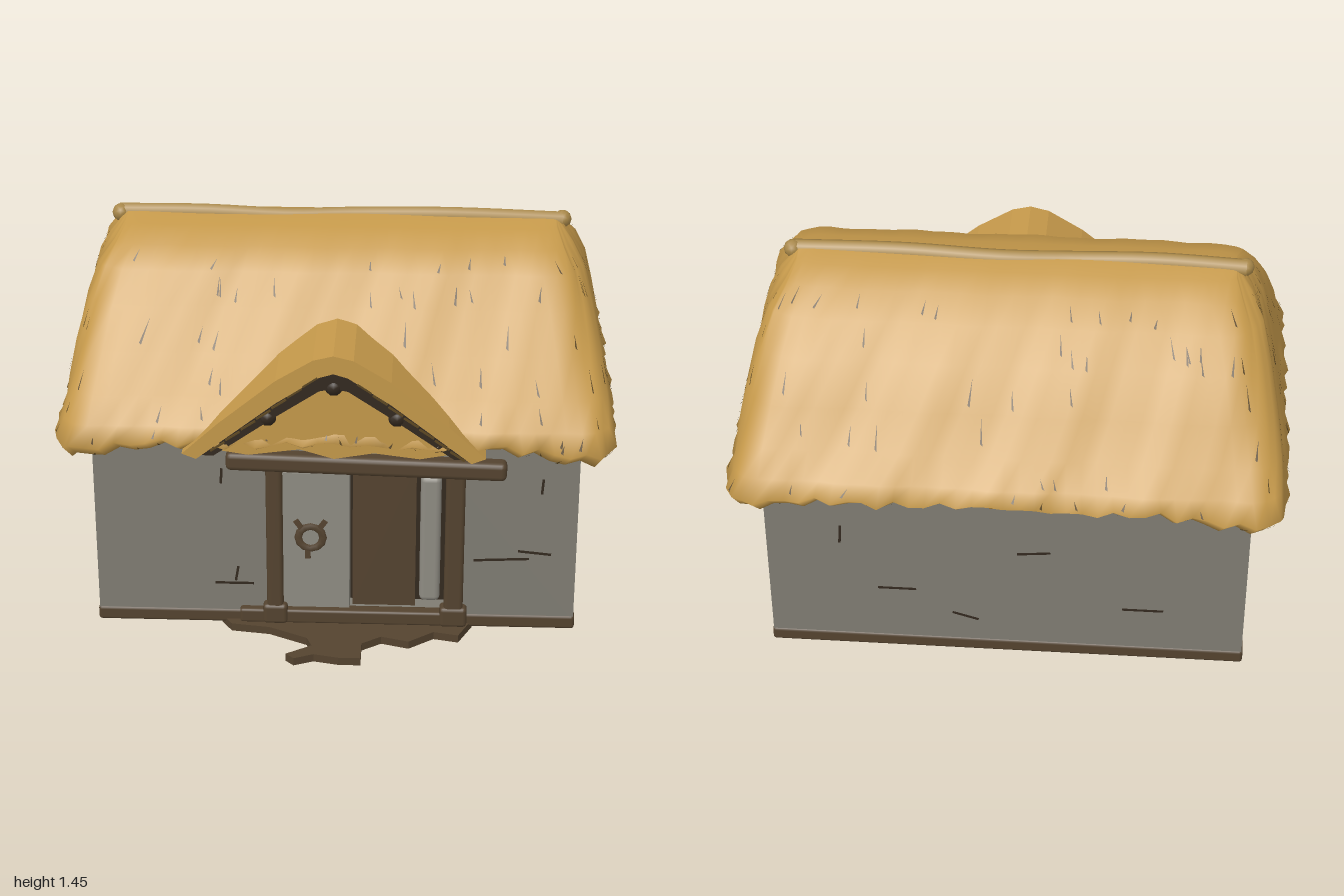
import * as THREE from 'three';
import { RoundedBoxGeometry } from 'three/addons/geometries/RoundedBoxGeometry.js';

const mat = (name, color, side = THREE.FrontSide) => {
  const m = new THREE.MeshStandardMaterial({ color, side });
  m.name = name;
  return m;
};

export function createModel() {
  const thatch = mat('thatch', 0xc4984a);
  const ridgeThatch = mat('ridge thatch', 0xa98849);
  const straw = mat('dark straw', 0x5c4722, THREE.DoubleSide);
  const stone = mat('stone', 0x7f7c72);
  const plaster = mat('plaster', 0x8e8b82);
  const wood = mat('wood', 0x54432f);
  const darkWood = mat('dark wood', 0x33291f);

  const house = new THREE.Group();
  house.name = 'cottage';
  let seed = 7;
  const rand = () => (seed = (seed * 16807) % 2147483647) / 2147483647;

  const add = (name, geo, material, x = 0, y = 0, z = 0) => {
    const m = new THREE.Mesh(geo, material);
    m.name = name;
    m.position.set(x, y, z);
    house.add(m);
    return m;
  };
  // box given by its limits
  const block = (name, material, x0, x1, y0, y1, z0, z1, r = 0) => {
    const s = [x1 - x0, y1 - y0, z1 - z0];
    const geo = r ? new RoundedBoxGeometry(...s, 2, r) : new THREE.BoxGeometry(...s);
    return add(name, geo, material, (x0 + x1) / 2, (y0 + y1) / 2, (z0 + z1) / 2);
  };
  const shape = pts => new THREE.Shape(pts.map(p => new THREE.Vector2(...p)));
  const extrude = (s, depth) => new THREE.ExtrudeGeometry(s, { depth, bevelEnabled: false });

  // walls, with a doorway cut in the front slab
  block('walls', stone, -0.87, 0.87, 0.05, 0.83, -0.6, 0.38);
  const front = shape([[-0.87, 0.05], [0.87, 0.05], [0.87, 0.83], [-0.87, 0.83]]);
  front.holes.push(new THREE.Path([[0.05, 0.07], [0.05, 0.66], [0.4, 0.66], [0.4, 0.07]].map(p => new THREE.Vector2(...p))));
  add('frontWall', extrude(front, 0.1), stone, 0, 0, 0.38);
  block('foundation', wood, -0.875, 0.875, 0.015, 0.07, -0.605, 0.485, 0.012);

  // doorway
  block('doorRecess', darkWood, 0.05, 0.4, 0.07, 0.66, 0.375, 0.385);
  block('door', wood, 0.06, 0.29, 0.07, 0.65, 0.385, 0.43);
  block('doorJamb', plaster, 0.305, 0.38, 0.12, 0.63, 0.42, 0.487, 0.02);
  block('wallPanel', plaster, -0.19, 0.05, 0.09, 0.64, 0.475, 0.489);
  block('threshold', wood, -0.35, 0.46, 0.03, 0.085, 0.46, 0.51, 0.01);

  // porch frame
  [[-0.22, 0.06], [0.43, 0.07]].forEach(([x, w]) => {
    block('post', wood, x - w / 2, x + w / 2, 0.04, 0.68, 0.46, 0.515, 0.015);
    block('postFoot', wood, x - w / 2 - 0.015, x + w / 2 + 0.015, 0.03, 0.11, 0.46, 0.52, 0.015);
  });
  block('lintel', wood, -0.39, 0.61, 0.65, 0.72, 0.45, 0.53, 0.02).rotation.z = -0.025;

  // small peephole ornament
  const ringMesh = add('peephole', new THREE.TorusGeometry(0.045, 0.016, 6, 12), wood, -0.09, 0.38, 0.487);
  ringMesh.scale.z = 0.6;
  [[-0.13, 0.43, 0.6], [-0.05, 0.43, -0.6], [-0.1, 0.32, 0]].forEach(([x, y, a]) => {
    block('peepholeSpur', wood, x - 0.01, x + 0.01, y - 0.025, y + 0.025, 0.485, 0.495).rotation.z = a;
  });

  // trodden earth before the door
  const apron = extrude(shape([[-0.42, 0.46], [-0.38, 0.52], [-0.24, 0.54], [-0.1, 0.61], [-0.08, 0.66], [-0.17, 0.72],
    [-0.14, 0.75], [-0.07, 0.72], [0.02, 0.74], [0.1, 0.74], [0.1, 0.64], [0.17, 0.59], [0.27, 0.62], [0.36, 0.55],
    [0.45, 0.57], [0.5, 0.46]]), 0.03);
  apron.rotateX(Math.PI / 2);
  add('doorstep', apron, wood, 0, 0.03, 0);

  // cracks: [side, position along wall, y, length, angle]
  const cracks = [['f', -0.37, 0.18, 0.14, 0], ['f', -0.36, 0.22, 0.06, 1.4], ['f', 0.72, 0.33, 0.12, -0.1],
    ['f', 0.74, 0.6, 0.06, 1.5], ['f', 0.6, 0.3, 0.2, 0.05], ['f', -0.41, 0.62, 0.06, 1.5],
    ['r', 0, 0.2, 0.16, 0], ['r', -0.04, 0.28, 0.14, 0.1], ['r', -0.09, 0.4, 0.14, 1.5], ['r', 0.1, 0.3, 0.08, -0.5],
    ['r', -0.5, 0.7, 0.18, 0.1], ['r', -0.26, 0.12, 0.09, -0.8], ['l', 0.2, 0.3, 0.14, 0], ['l', -0.2, 0.5, 0.1, 1.4],
    ['b', -0.5, 0.25, 0.15, 0], ['b', -0.1, 0.5, 0.12, 0.1], ['b', 0.4, 0.3, 0.14, 0], ['b', 0.6, 0.55, 0.08, 1.5],
    ['b', 0.15, 0.18, 0.1, -0.3]];
  const faces = { f: [0, 0.48, 0], b: [0, -0.6, Math.PI], r: [0.87, 0, Math.PI / 2], l: [-0.87, 0, -Math.PI / 2] };
  cracks.forEach(([k, p, y, len, a]) => {
    const [fx, fz, turn] = faces[k];
    const m = add('crack', new THREE.BoxGeometry(len, 0.009, 0.004), darkWood, fx || p, y, fz || p);
    m.rotation.set(0, turn, a);
  });

  // thatched roof: stacked rounded rectangles [y, half width, front z, back z, eave lift]
  const levels = [[0.8, 0.85, 0.46, -0.58, 0], [0.745, 0.965, 0.6, -0.715, 0.06], [0.79, 0.99, 0.625, -0.74, 0.03],
    [0.87, 0.97, 0.6, -0.7, 0], [0.95, 0.955, 0.52, -0.625, 0], [1.07, 0.93, 0.41, -0.53, 0],
    [1.2, 0.9, 0.3, -0.43, 0], [1.3, 0.87, 0.21, -0.32, 0], [1.37, 0.83, 0.15, -0.23, 0],
    [1.41, 0.8, 0.04, -0.15, 0], [1.43, 0.78, -0.04, -0.08, 0]];
  const sides = [[26, 1, 0], [36, 0, 1], [26, -1, 0], [36, 0, -1]];
  const clamp = THREE.MathUtils.clamp;
  const rings = levels.map(([y, hx, zf, zb, lift], i) => {
    const ring = [], hz = (zf - zb) / 2, cz = (zf + zb) / 2, r = Math.min(0.12, hz * 0.9);
    sides.forEach(([n, sx, sz]) => {
      for (let k = 0; k < n; k++) {
        const j = ring.length, t = -1 + 2 * k / n;
        const px = (sx || -sz * t) * hx, pz = (sz || sx * t) * hz;
        const ix = clamp(px, r - hx, hx - r), iz = clamp(pz, r - hz, hz - r);
        const d = Math.hypot(px - ix, pz - iz), ragged = i === 1 || i === 2 ? 0.009 : 0;
        const bump = i && i < 9 ? 0.005 * Math.sin(j * 0.7 + i) + 0.003 * Math.sin(j * 1.9 + i * 2) + ragged * Math.sin(j * 2.6) : 0;
        const rr = (r + bump) / d;
        const dip = lift ? lift * (1 - Math.abs(t) ** 3) + 0.012 * Math.sin(j * 2.3) + 0.008 * Math.sin(j * 0.6) : 0;
        ring.push(new THREE.Vector3(ix + (px - ix) * rr, y + dip, cz + iz + (pz - iz) * rr));
      }
    });
    return ring;
  });
  const N = rings[0].length, index = [];
  for (let i = 0; i < rings.length - 1; i++) {
    for (let j = 0; j < N; j++) {
      const a = i * N + j, b = i * N + (j + 1) % N;
      index.push(a, a + N, b, b, a + N, b + N);
    }
  }
  const roof = new THREE.BufferGeometry().setFromPoints(rings.flat());
  roof.setIndex(index);
  roof.computeVertexNormals();
  add('thatchedRoof', roof, thatch);

  // dark straws lying on the thatch, each inside one cell of the roof grid
  const straws = [];
  for (let s = 0; s < 230; s++) {
    const i = s < 50 ? 1 : 2 + Math.floor(rand() * 6), j = Math.floor(rand() * N), j2 = (j + 1) % N;
    const [a, b, c, d] = [rings[i][j], rings[i][j2], rings[i + 1][j], rings[i + 1][j2]];
    const normal = c.clone().sub(a).cross(b.clone().sub(a)).normalize().multiplyScalar(0.005);
    const at = (u, v) => a.clone().lerp(b, u).lerp(c.clone().lerp(d, u), v).add(normal);
    const u = 0.2 + rand() * 0.4, lean = (rand() - 0.5) * 0.6, v = rand() * 0.35;
    straws.push(at(u, v), at(u + 0.16, v + 0.05), at(clamp(u + lean, 0, 1), v + 0.35 + rand() * 0.3));
  }
  const strawGeo = new THREE.BufferGeometry().setFromPoints(straws);
  strawGeo.computeVertexNormals();
  add('strawStrokes', strawGeo, straw);

  // ridge roll with ragged ends
  const ridgePath = new THREE.CatmullRomCurve3([-0.81, -0.5, -0.2, 0.05, 0.4, 0.8].map((x, k) =>
    new THREE.Vector3(x, 1.415 + 0.006 * Math.sin(k * 2), -0.06 - 0.008 * Math.cos(k * 2))));
  add('ridgeRoll', new THREE.TubeGeometry(ridgePath, 24, 0.033, 8), ridgeThatch);
  [-0.805, 0.8].forEach(x => add('ridgeEnd', new THREE.IcosahedronGeometry(0.033, 1), ridgeThatch, x, 1.415, -0.06));

  // gable over the door: thatch cover, dark timber beneath, thatch infill
  const chevron = (outer, inner) => {
    const flip = pts => pts.slice(0, -1).reverse().map(([x, y]) => [-x, y]);
    return shape([...outer, ...flip(outer), ...[...inner].map(([x, y]) => [-x, y]), ...flip(inner).map(([x, y]) => [-x, y]).map(([x, y]) => [-x, y]).map(([x, y]) => [-x, y])]);
  };
  const cover = extrude(chevron([[-0.53, 0.79], [-0.4, 0.91], [-0.2, 1.075], [-0.07, 1.155], [0, 1.172]],
    [[-0.48, 0.77], [-0.2, 0.99], [-0.05, 1.09], [0, 1.105]]), 0.46);
  add('gableThatch', cover, thatch, 0, 0, 0.185);
  const rafters = extrude(chevron([[-0.5, 0.775], [-0.2, 1.0], [-0.05, 1.1], [0, 1.115]],
    [[-0.42, 0.775], [-0.2, 0.93], [-0.05, 1.03], [0, 1.04]]), 0.4);
  add('gableRafters', rafters, darkWood, 0, 0, 0.225);
  add('gableInfill', extrude(shape([[-0.46, 0.8], [-0.3, 0.775], [-0.12, 0.8], [0, 0.765], [0.14, 0.79],
    [0.3, 0.77], [0.46, 0.8], [0, 1.08]]), 0.3), thatch, 0, 0, 0.315);
  [[0, 1.04], [-0.23, 0.92], [0.22, 0.925]].forEach(([x, y]) =>
    add('beamEnd', new THREE.IcosahedronGeometry(0.035, 1), darkWood, x, y, 0.6));
  for (let k = 0; k < 14; k++) {
    // short bands across the gable face
    const x = (k % 2 ? 1 : -1) * (0.08 + 0.027 * k), y = 1.135 - Math.abs(x) * 0.78;
    block('gableStraw', straw, x - 0.03, x + 0.03, y - 0.003, y + 0.003, 0.64, 0.648).rotation.z = -Math.sign(x) * 0.6;
  }
  return house;
}
